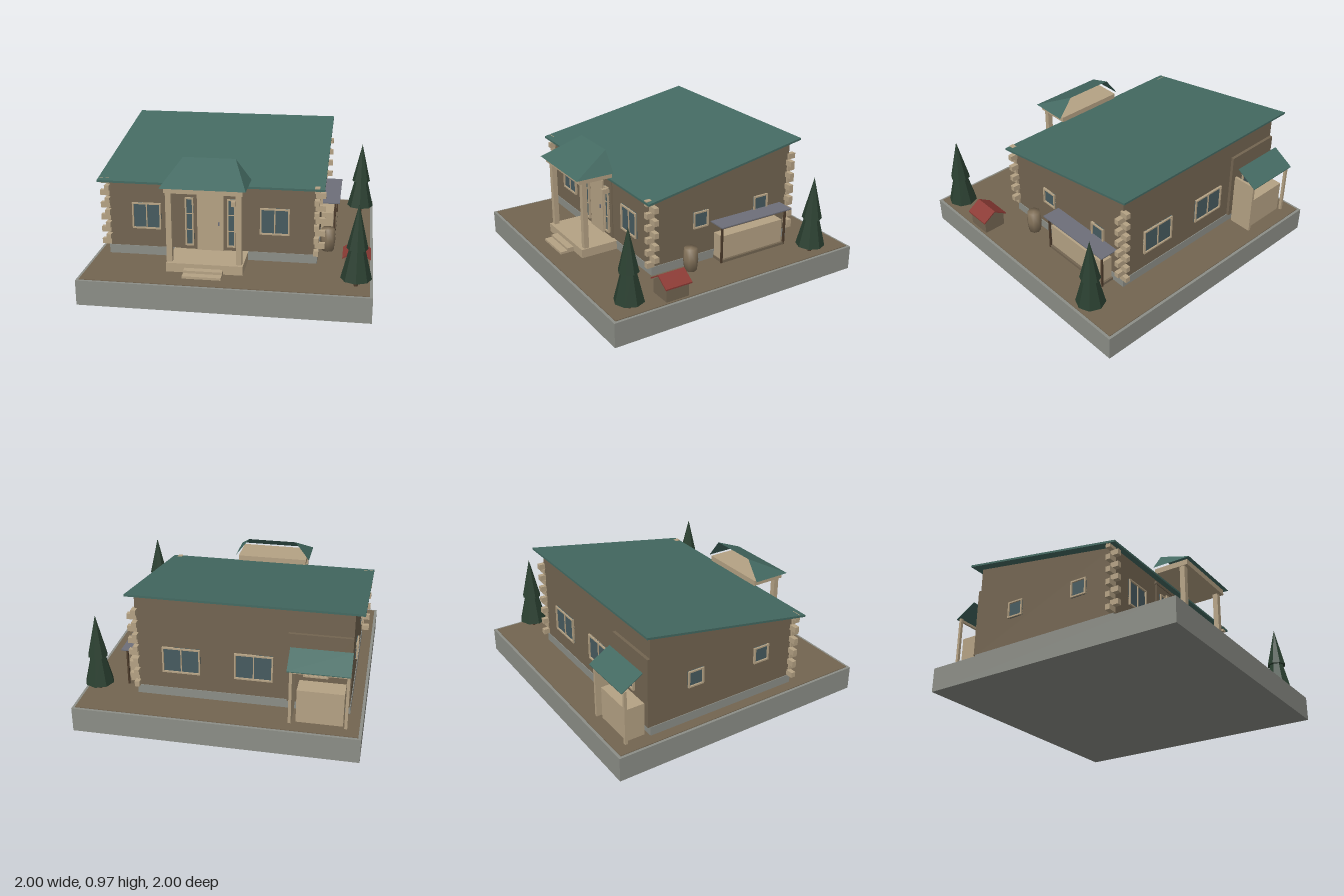
import * as THREE from 'three';

const mat = (name, color, side = THREE.FrontSide) => {
  const m = new THREE.MeshStandardMaterial({ color, side });
  m.name = name;
  return m;
};

export function createModel() {
  const stone = mat('stone', 0x8c8e87), earth = mat('earth brown', 0x736551);
  const timber = mat('pale timber', 0xb5a284), teal = mat('teal roofing', 0x446a62, THREE.DoubleSide);
  const glass = mat('glass', 0x475b60), green = mat('evergreen', 0x2a3f30);
  const red = mat('red roofing', 0x8b3a34), slate = mat('slate', 0x6d6f79);
  const staves = mat('barrel brown', 0x84735b), bark = mat('bark', 0x4c3b2b);

  const model = new THREE.Group();
  model.name = 'cabinOnPlinth';
  const G = 0.185; // ground level

  const add = (name, geo, material, parent = model) => {
    const m = new THREE.Mesh(geo, material);
    m.name = name;
    parent.add(m);
    return m;
  };
  // Box given by its limits on each axis
  const box = (name, material, x0, x1, y0, y1, z0, z1, parent = model) => {
    const m = add(name, new THREE.BoxGeometry(x1 - x0, y1 - y0, z1 - z0), material, parent);
    m.position.set((x0 + x1) / 2, (y0 + y1) / 2, (z0 + z1) / 2);
    return m;
  };
  // Side profile of [z, y] points, swept from x0 to x1
  const sweepX = (name, material, pts, x0, x1) => {
    const shape = new THREE.Shape(pts.map(([z, y]) => new THREE.Vector2(-z, y)));
    const geo = new THREE.ExtrudeGeometry(shape, { depth: x1 - x0, bevelEnabled: false });
    geo.rotateY(Math.PI / 2).translate(x0, 0, 0);
    return add(name, geo, material);
  };
  const group = (name, x = 0, y = 0, z = 0, turn = 0) => {
    const g = new THREE.Group();
    g.name = name;
    g.position.set(x, y, z);
    g.rotation.y = turn;
    model.add(g);
    return g;
  };

  // Plinth with a dirt yard
  box('plinth', stone, -1, 1, 0, 0.18, -1, 1);
  box('yard', earth, -0.98, 0.98, 0.178, G, -0.98, 0.98);

  // House body under a single-pitch roof
  const roofY = z => 0.75 + (0.53 - z) * 0.173;
  box('foundation', stone, -0.905, 0.605, G, 0.25, -0.705, 0.485);
  sweepX('walls', earth, [[0.48, 0.25], [0.48, roofY(0.48) - 0.01], [-0.7, roofY(-0.7) - 0.01], [-0.7, 0.25]], -0.9, 0.6);
  sweepX('mainRoof', teal, [[0.53, 0.735], [0.53, 0.75], [-0.76, roofY(-0.76)], [-0.76, roofY(-0.76) - 0.015]], -0.965, 0.65);

  // Crossed log ends on three corners
  const logCorner = (name, sx, sz, cx, cz, count, xFirst) => {
    const g = group(name, cx, 0, cz);
    for (let i = 0; i < count; i++) {
      const y = 0.275 + i * 0.0463;
      const alongX = (i % 2 === 0) === xFirst;
      const size = alongX ? [0.07, 0.04, 0.035] : [0.035, 0.04, 0.06];
      const m = add('logEnd', new THREE.BoxGeometry(...size), timber, g);
      m.position.set(sx * (alongX ? 0.022 : -0.002), y, sz * (alongX ? -0.008 : 0.016));
    }
  };
  logCorner('frontRightLogs', -1, 1, -0.9, 0.48, 11, true);
  logCorner('frontLeftLogs', 1, 1, 0.6, 0.48, 11, false);
  logCorner('backLeftLogs', 1, -1, 0.6, -0.7, 13, false);

  // Windows, built facing +z and turned to their wall
  const windowUnit = (name, x, y, z, turn, w, h, panes, rows = 1) => {
    const g = group(name, x, y, z, turn), t = 0.011;
    box('pane', glass, -w / 2, w / 2, -h / 2, h / 2, -0.003, 0.005, g);
    for (const s of [-1, 1]) {
      const cx = s * (w - t) / 2, cy = s * (h - t) / 2;
      box('jamb', timber, cx - t / 2, cx + t / 2, -h / 2, h / 2, 0, 0.016, g);
      box('rail', timber, -w / 2, w / 2, cy - t / 2, cy + t / 2, 0, 0.016, g);
    }
    for (let i = 1; i < panes; i++) {
      const c = -w / 2 + (w * i) / panes;
      box('mullion', timber, c - 0.004, c + 0.004, -h / 2, h / 2, 0, 0.012, g);
    }
    for (let i = 1; i < rows; i++) {
      const c = -h / 2 + (h * i) / rows;
      box('glazingBar', timber, -w / 2, w / 2, c - 0.003, c + 0.003, 0, 0.01, g);
    }
  };
  for (const x of [-0.62, 0.303]) windowUnit('frontWindow', x, 0.485, 0.48, 0, 0.21, 0.195, 2);
  for (const x of [0.28, -0.23]) windowUnit('backWindow', x, 0.475, -0.7, Math.PI, 0.27, 0.195, 2);
  for (const z of [0.08, -0.447]) windowUnit('leftWindow', 0.6, 0.518, z, Math.PI / 2, 0.125, 0.125, 1);
  for (const z of [0.2, -0.35]) windowUnit('rightWindow', -0.9, 0.518, z, -Math.PI / 2, 0.125, 0.125, 1);

  // Front entrance
  box('doorSurround', earth, -0.375, 0.06, 0.25, 0.71, 0.47, 0.488);
  box('surroundCap', earth, -0.385, 0.07, 0.705, 0.725, 0.47, 0.495);
  box('frontDoor', timber, -0.25, -0.06, 0.25, 0.67, 0.48, 0.5);
  box('doorHandle', slate, -0.097, -0.089, 0.44, 0.468, 0.495, 0.508);
  for (const x of [-0.306, -0.004]) windowUnit('sidelight', x, 0.46, 0.488, 0, 0.062, 0.36, 1, 3);
  box('lantern', timber, 0, 0.028, 0.6, 0.636, 0.485, 0.545);

  // Porch deck, steps, posts and ceiling
  box('porchDeck', timber, -0.42, 0.115, G, 0.25, 0.48, 0.77);
  box('upperStep', timber, -0.29, -0.02, G, 0.22, 0.77, 0.82);
  box('lowerStep', timber, -0.29, -0.02, G, 0.202, 0.82, 0.875);
  for (const x of [-0.4, 0.085]) box('porchPost', timber, x - 0.02, x + 0.02, 0.25, 0.756, 0.707, 0.745);
  box('porchCeiling', timber, -0.425, 0.115, 0.755, 0.795, 0.51, 0.77);

  // Half-hipped porch roof, open towards the house
  const A = [-0.45, 0.795, 0.8], B = [0.14, 0.795, 0.8], C = [0.03, 0.94, 0.51];
  const D = [-0.34, 0.94, 0.51], E = [0.14, 0.795, 0.51], F = [-0.45, 0.795, 0.51];
  const hip = new THREE.BufferGeometry();
  hip.setAttribute('position', new THREE.Float32BufferAttribute([A, B, C, A, C, D, B, E, C, F, A, D].flat(), 3));
  hip.computeVertexNormals();
  add('porchRoof', hip, teal);

  // Back porch with awning, side panel and storage chest
  box('backPanel', earth, -0.9, -0.465, 0.25, 0.77, -0.722, -0.7);
  windowUnit('backPorchWindow', -0.66, 0.52, -0.722, Math.PI, 0.17, 0.12, 1);
  sweepX('awning', teal, [[-0.918, 0.588], [-0.918, 0.594], [-0.76, 0.69], [-0.76, 0.684]], -0.905, -0.485);
  box('sidePanel', timber, -0.52, -0.5, G, 0.588, -0.897, -0.722);
  box('awningPost', timber, -0.9, -0.88, G, 0.592, -0.897, -0.877);
  box('awningBeam', timber, -0.9, -0.5, 0.57, 0.588, -0.897, -0.882);
  box('storageChest', timber, -0.87, -0.55, G, 0.43, -0.87, -0.73);

  // Wood store against the left wall
  box('woodStoreRoof', slate, 0.6, 0.74, 0.47, 0.478, -0.635, -0.01);
  for (const z of [-0.035, -0.6]) box('woodStorePost', bark, 0.7, 0.713, G, 0.472, z - 0.007, z + 0.007);
  box('woodStoreFloor', earth, 0.605, 0.713, G, 0.205, -0.6, -0.035);
  box('firewood', timber, 0.605, 0.695, 0.205, 0.385, -0.585, -0.04);

  // Barrel
  const barrelProfile = [[0, 0], [0.045, 0], [0.055, 0.085], [0.047, 0.17], [0, 0.17]].map(p => new THREE.Vector2(...p));
  add('barrel', new THREE.LatheGeometry(barrelProfile, 8).toNonIndexed(), staves).position.set(0.668, G, 0.204);

  // Kennel with gabled roof
  const gable = (pts, z0, z1) => new THREE.ExtrudeGeometry(
    new THREE.Shape(pts.map(p => new THREE.Vector2(...p))), { depth: z1 - z0, bevelEnabled: false }).translate(0, 0, z0);
  add('kennelBody', gable([[0.8, G], [0.965, G], [0.965, 0.285], [0.8825, 0.342], [0.8, 0.285]], 0.415, 0.59), earth);
  add('kennelRoof', gable([[0.785, 0.282], [0.8825, 0.345], [0.98, 0.282], [0.98, 0.292], [0.8825, 0.356], [0.785, 0.292]], 0.4, 0.605), red);

  // Two-tier conifers
  const facet = geo => {
    const g = geo.toNonIndexed();
    g.computeVertexNormals();
    return g;
  };
  for (const [x, z] of [[0.885, 0.825], [0.893, -0.695]]) {
    const tree = group('conifer', x, 0, z);
    add('trunk', new THREE.CylinderGeometry(0.012, 0.014, 0.07, 7), bark, tree).position.y = 0.218;
    add('lowerBranches', facet(new THREE.CylinderGeometry(0.052, 0.105, 0.215, 8)), green, tree).position.y = 0.3475;
    add('upperBranches', facet(new THREE.ConeGeometry(0.072, 0.308, 8)), green, tree).position.y = 0.607;
  }
  return model;
}
